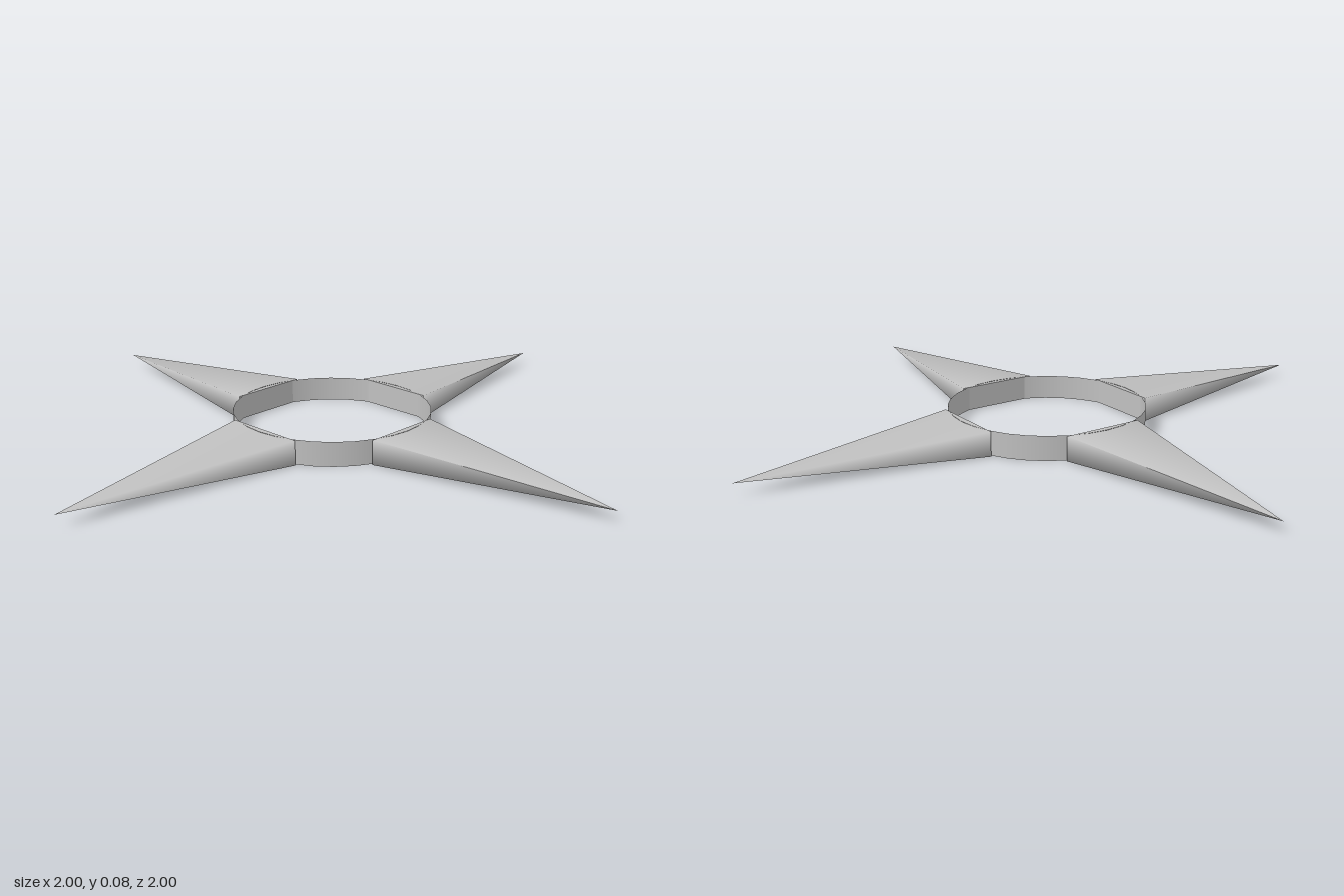
import * as THREE from 'three';

const THICKNESS = 0.075;
const BASE = 0.282; // distance from the centre to each blade's base
const HALF_WIDTH = 0.127;

export function createModel() {
  const group = new THREE.Group();
  group.name = 'throwingStar';

  const steel = new THREE.MeshStandardMaterial({ color: 0xc0c0c0, side: THREE.DoubleSide });
  steel.name = 'steel';

  // Thin open hub ring
  const ring = new THREE.Mesh(
    new THREE.CylinderGeometry(0.302, 0.302, THICKNESS, 32, 1, true), steel);
  ring.name = 'hubRing';
  ring.position.y = THICKNESS / 2;
  group.add(ring);

  // Flattened four-sided spike pointing along +z
  const length = 1 - BASE;
  const blade = new THREE.ConeGeometry(Math.SQRT2, length, 4);
  blade.rotateY(Math.PI / 4);
  blade.rotateX(Math.PI / 2);
  blade.scale(HALF_WIDTH, THICKNESS / 2, 1);
  blade.translate(0, THICKNESS / 2, BASE + length / 2);

  // Four blades around the hub
  ['front', 'left', 'back', 'right'].forEach((side, i) => {
    const mesh = new THREE.Mesh(blade, steel);
    mesh.name = side + 'Blade';
    mesh.rotation.y = i * Math.PI / 2;
    group.add(mesh);
  });

  return group;
}
